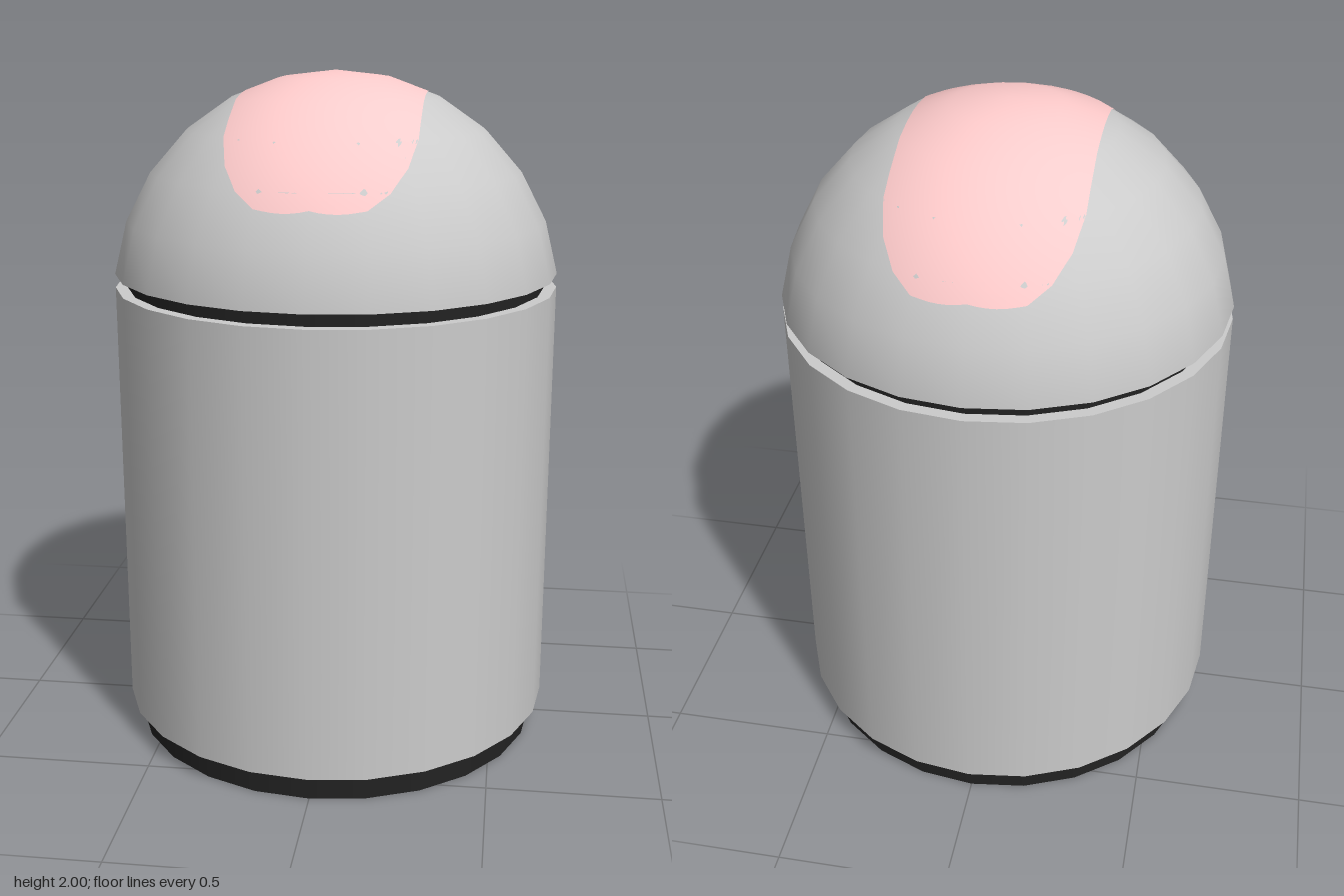
import * as THREE from 'three';

const SIDES = 24;
const grey = new THREE.MeshStandardMaterial({ color: 0xcccccc });
const black = new THREE.MeshStandardMaterial({ color: 0x222222 });
const pink = new THREE.MeshStandardMaterial({ color: 0xffcccc });

const DOME_R = 0.66, DOME_Y = 1.34, DOME_BASE = 1.42;

function named(name, geometry, material) {
  const mesh = new THREE.Mesh(geometry, material);
  mesh.name = name;
  return mesh;
}

// Upright cylinder between two heights
function drum(name, radius, y0, y1, material) {
  const g = new THREE.CylinderGeometry(radius, radius, y1 - y0, SIDES);
  g.translate(0, (y0 + y1) / 2, 0);
  return named(name, g, material);
}

// Half length of the stripe at distance x from its centre line (rounded corners)
const corner = [[0.15, 0.545], [0.205, 0.5], [0.245, 0.43], [0.265, 0.34]];
function stripeReach(x) {
  const a = Math.abs(x);
  if (a <= corner[0][0]) return Math.sqrt(0.3195 - a * a);
  for (let i = 1; i < corner.length; i++) {
    const [x0, z0] = corner[i - 1], [x1, z1] = corner[i];
    if (a <= x1 + 1e-6) return z0 + (z1 - z0) * (a - x0) / (x1 - x0);
  }
  return corner[corner.length - 1][1];
}

// Stripe draped over the faceted dome, just above its surface
function drapedStripe(dome) {
  const half = [0, 0.025, 0.05, 0.075, 0.1, 0.125, 0.15, 0.168, 0.187, 0.205, 0.225, 0.245, 0.255, 0.265];
  const xs = [...half.slice(1).reverse().map(x => -x), ...half];
  const rows = 56, pos = [], nor = [], idx = [];
  const centre = new THREE.Vector3(0, DOME_Y, 0), down = new THREE.Vector3(0, -1, 0);
  const ray = new THREE.Raycaster();
  for (const x of xs) {
    for (let j = 0; j <= rows; j++) {
      const z = (j / rows * 2 - 1) * stripeReach(x);
      ray.set(new THREE.Vector3(x + 1.3e-4, 3, z + 0.7e-4), down);
      const hit = ray.intersectObject(dome)[0];
      const y = hit ? hit.point.y : DOME_Y + Math.sqrt(DOME_R ** 2 - x * x - z * z);
      const p = new THREE.Vector3(x, y, z);
      const n = p.clone().sub(centre).normalize();
      p.addScaledVector(n, 0.002);
      pos.push(p.x, p.y, p.z);
      nor.push(n.x, n.y, n.z);
    }
  }
  for (let i = 0; i < xs.length - 1; i++) {
    for (let j = 0; j < rows; j++) {
      const a = i * (rows + 1) + j, b = a + rows + 1;
      idx.push(a, a + 1, b, b, a + 1, b + 1);
    }
  }
  const g = new THREE.BufferGeometry();
  g.setAttribute('position', new THREE.Float32BufferAttribute(pos, 3));
  g.setAttribute('normal', new THREE.Float32BufferAttribute(nor, 3));
  g.setIndex(idx);
  return named('domeStripe', g, pink);
}

export function createModel() {
  const model = new THREE.Group();
  model.name = 'domedCanister';

  // Dark foot, main barrel and dark recessed neck
  model.add(drum('foot', 0.62, 0, 0.08, black));
  model.add(drum('barrel', 0.655, 0.08, 1.38, grey));
  model.add(drum('neck', 0.62, 1.38, DOME_BASE, black));

  // Dome lid with a closed underside
  const angle = Math.acos((DOME_BASE - DOME_Y) / DOME_R);
  const domeGeo = new THREE.SphereGeometry(DOME_R, SIDES, 6, 0, Math.PI * 2, 0, angle);
  domeGeo.translate(0, DOME_Y, 0);
  const dome = named('dome', domeGeo, grey);
  const under = new THREE.CircleGeometry(DOME_R * Math.sin(angle), SIDES);
  under.rotateX(Math.PI / 2).translate(0, DOME_BASE, 0);
  model.add(dome, named('domeUnderside', under, grey));

  // Pink band over the top, front to back
  model.add(drapedStripe(dome));
  return model;
}
